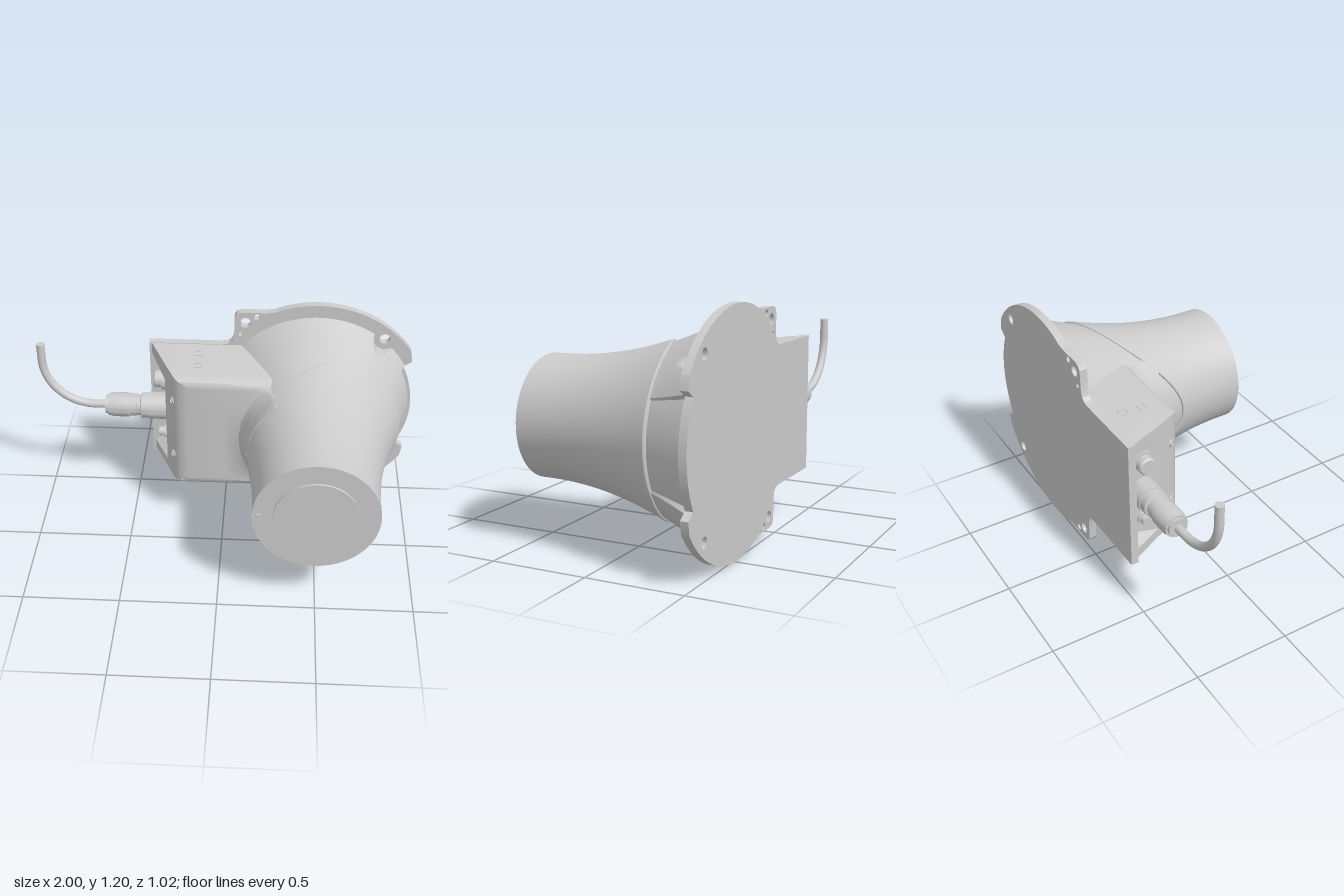
import * as THREE from 'three';
import { toCreasedNormals } from 'three/addons/utils/BufferGeometryUtils.js';
import { ParametricGeometry } from 'three/addons/geometries/ParametricGeometry.js';

const CX = 0.48, CY = 0.605, CABLE_Z = -0.39;
const deg = Math.PI / 180;

export function createModel() {
  const group = new THREE.Group();
  const mat = new THREE.MeshStandardMaterial({ color: 0xcccccc, side: THREE.DoubleSide });

  function add(name, geo, x = 0, y = 0, z = 0) {
    const mesh = new THREE.Mesh(geo, mat);
    mesh.name = name;
    mesh.position.set(x, y, z);
    group.add(mesh);
    return mesh;
  }
  const creased = (geo, angle = 0.5) => toCreasedNormals(geo, angle);
  const lathe = (pts, n = 48) =>
    creased(new THREE.LatheGeometry(pts.map(([r, h]) => new THREE.Vector2(r, h)), n));
  const surface = (f, nu, nv) => creased(new ParametricGeometry(f, nu, nv));

  // Flared horn radius along z
  const flare = z => 0.31 + 0.277 * Math.max(0, 0.45 - z) ** 2;

  // Front sleeve with a slanted, curved rear edge
  const sleeveRows = 32;
  add('frontSleeve', surface((u, v, p) => {
    const a = u * Math.PI * 2, k = Math.round(v * sleeveRows);
    const end = -0.27 + 0.075 * (1 - Math.cos(a)) ** 2.4;
    const s = Math.max(0, k - 2) / (sleeveRows - 2);
    const z = k < 2 ? end + 0.006 * k : end + 0.012 + (0.5 - end - 0.012) * s;
    const r = flare(z) - [0.025, 0.004][k] || flare(z);
    p.set(CX + r * Math.cos(a), CY + r * Math.sin(a), z);
  }, 128, sleeveRows));

  // Front face with raised round cover
  add('frontCover', lathe([[0.31, 0.49], [0.31, 0.5], [0.21, 0.5], [0.21, 0.512], [0, 0.512]], 96), CX, CY)
    .rotation.x = Math.PI / 2;
  add('indexPin', new THREE.CylinderGeometry(0.016, 0.016, 0.016, 20), 0.2, CY, 0.5).rotation.x = Math.PI / 2;
  add('indexSlot', new THREE.BoxGeometry(0.025, 0.014, 0.012), 0.182, CY, 0.499);

  // Rear bell: cut back on the +x sector and around the two mounting screws
  const screwD = Math.hypot(0.35, 0.415), screwA = Math.atan2(0.415, 0.35), pocketR = 0.06;
  function bellRadius(a, z) {
    let r = flare(z) - 0.012;
    const off = Math.abs(Math.atan2(Math.sin(a), Math.cos(a)));
    if (off < 28.5 * deg) r = Math.min(r, 0.433 + (-0.27 - z) * 0.36);
    const side = screwD * Math.sin(off - screwA);
    if (Math.abs(side) < pocketR) {
      r = Math.min(r, screwD * Math.cos(off - screwA) - Math.sqrt(pocketR ** 2 - side ** 2));
    }
    return r;
  }
  add('rearBell', surface((u, v, p) => {
    const a = u * Math.PI * 2, z = -0.472 + v * 0.65, r = bellRadius(a, z);
    p.set(CX + r * Math.cos(a), CY + r * Math.sin(a), z);
  }, 300, 48));

  // Back plate: round flange, two ears, and the base of the housing
  const ear = [[0.25, 1.16], [0.21, 1.155], [0.08, 1.155], [0.055, 1.147], [0.042, 1.125],
    [0.04, 1.01], [0.03, 0.982], [0.012, 0.966], [-0.02, 0.96]];
  const flip = y => 2 * CY - y;
  const polar = (r, d) => [CX + r * Math.cos(d * deg), CY + r * Math.sin(d * deg)];
  const plate = new THREE.Shape();
  plate.moveTo(-0.41, flip(0.96));
  [...ear].reverse().forEach(([x, y]) => plate.lineTo(x, flip(y)));
  plate.absarc(CX, CY, 0.602, -107 * deg, -35 * deg);
  plate.lineTo(...polar(0.577, -29));
  plate.lineTo(...polar(0.52, -28.5));
  plate.absarc(CX, CY, 0.52, -28.5 * deg, 28.5 * deg);
  plate.lineTo(...polar(0.577, 29));
  plate.absarc(CX, CY, 0.602, 35 * deg, 107 * deg);
  ear.forEach(([x, y]) => plate.lineTo(x, y));
  plate.lineTo(-0.41, 0.96);
  const hole = (x, y, r) => plate.holes.push(new THREE.Path().absarc(x, y, r, 0, Math.PI * 2, true));
  [[0.1, 1.095, 0.028], [0.16, 1.13, 0.017], [0.83, 1.02, 0.028]].forEach(([x, y, r]) => {
    hole(x, y, r);
    hole(x, flip(y), r);
  });
  hole(0.075, 1.025, 0.011);
  add('backPlate', creased(new THREE.ExtrudeGeometry(plate, { depth: 0.04, bevelEnabled: false, curveSegments: 64 })),
    0, 0, -0.51);

  // Housing: profiles in x/z lofted along y; stations are [half height, front z, notch depth 0..1]
  const half = [[0.352, -0.47, 0], [0.337, -0.2, 0], [0.332, -0.17, 0], [0.32, -0.15, 0], [0.3, -0.14, 0],
    [0.285, -0.14, 0], [0.235, -0.14, 1], [0.18, -0.14, 1], [0.1, -0.14, 1]];
  const stations = [...half.map(([h, z, n]) => [-h, z, n]), [0, -0.14, 1],
    ...[...half].reverse()];
  function housingProfile([h, zf, notch]) {
    const shift = 0.39 - Math.sqrt(0.39 ** 2 - h ** 2);
    return [[-0.41, -0.51], [-0.405, -0.48], [-0.395 + 0.075 * notch, -0.468], [-0.315, -0.3],
      [-0.27, -0.2], [-0.255, -0.172], [-0.23, -0.15], [-0.19, -0.14], [0, -0.14],
      [0.04 + shift, -0.138], [0.08 + shift, -0.122], [0.105 + shift, -0.09], [0.118 + shift, -0.04], [0.128 + shift, 0.02],
      [0.3 + shift * 0.5, 0.02]]
      .map(([x, z], i) => [x, Math.min(z, i > 8 && Math.abs(h) < 0.31 ? 1 : zf)]);
  }
  const profiles = stations.map(housingProfile);
  const nu = profiles[0].length - 1, nv = stations.length - 1;
  add('housing', surface((u, v, p) => {
    const row = Math.round(v * nv), [x, z] = profiles[row][Math.round(u * nu)];
    p.set(x, CY + stations[row][0], z);
  }, nu, nv));

  // Cover screws on the sloping front edge
  [0.78, 0.435].forEach(y => {
    const screw = add('coverScrew', lathe([[0.02, -0.02], [0.02, 0.008], [0.012, 0.008], [0.012, 0], [0, 0]], 20),
      -0.268, y, -0.195);
    screw.rotation.set(Math.PI / 2, 0, 0.9);
  });

  // Square frames on the top side and a label panel underneath
  const frame = new THREE.Shape([[-1, -1], [1, -1], [1, 1], [-1, 1]].map(([x, y]) => new THREE.Vector2(x * 0.025, y * 0.022)));
  frame.holes.push(new THREE.Path([[-1, -1], [-1, 1], [1, 1], [1, -1]].map(([x, y]) => new THREE.Vector2(x * 0.02, y * 0.017))));
  const frameGeo = new THREE.ExtrudeGeometry(frame, { depth: 0.006, bevelEnabled: false });
  [[-0.385, 0.95], [-0.28, 0.944]].forEach(([z, y]) => {
    add('topFrame', frameGeo, -0.14, y + 0.005, z).rotation.x = Math.PI / 2 + 0.055;
  });
  add('undersidePanel', new THREE.BoxGeometry(0.2, 0.006, 0.18), -0.12, 0.262, -0.34).rotation.x = -0.055;

  // Cable gland and the two small ports, all pointing towards -x
  const alongX = (name, pts, y, n) => { add(name, lathe(pts, n), -0.315, y, CABLE_Z).rotation.z = Math.PI / 2; };
  alongX('cableGland', [[0, 0], [0.073, 0], [0.073, 0.1], [0.068, 0.1], [0.068, 0.14], [0.055, 0.145],
    [0.055, 0.165], [0.06, 0.165], [0.06, 0.2], [0.066, 0.205], [0.066, 0.29], [0.06, 0.315], [0.06, 0.32],
    [0.05, 0.32], [0.05, 0.335], [0.022, 0.335]], CY + 0.005);
  alongX('upperPort', [[0, 0], [0.058, 0], [0.058, 0.025], [0.045, 0.025], [0.045, 0.06], [0.038, 0.068], [0, 0.068]], 0.785);
  alongX('lowerPort', [[0, 0], [0.035, 0], [0.035, 0.02], [0.025, 0.02], [0.025, 0.05], [0, 0.05]], 0.44, 24);

  // Cable bending upwards
  const V = (x, y) => new THREE.Vector3(x, y, CABLE_Z);
  const path = new THREE.CurvePath();
  const k = 0.5523, r = 0.27, x0 = -0.978, y0 = 0.61;
  path.add(new THREE.LineCurve3(V(-0.64, y0), V(x0 + r, y0)));
  path.add(new THREE.CubicBezierCurve3(V(x0 + r, y0), V(x0 + r * (1 - k), y0), V(x0, y0 + r * (1 - k)), V(x0, y0 + r)));
  path.add(new THREE.LineCurve3(V(x0, y0 + r), V(x0, 0.98)));
  add('cable', new THREE.TubeGeometry(path, 60, 0.022, 20));
  add('cableEnd', new THREE.CircleGeometry(0.022, 20), x0, 0.98, CABLE_Z).rotation.x = -Math.PI / 2;

  return group;
}
